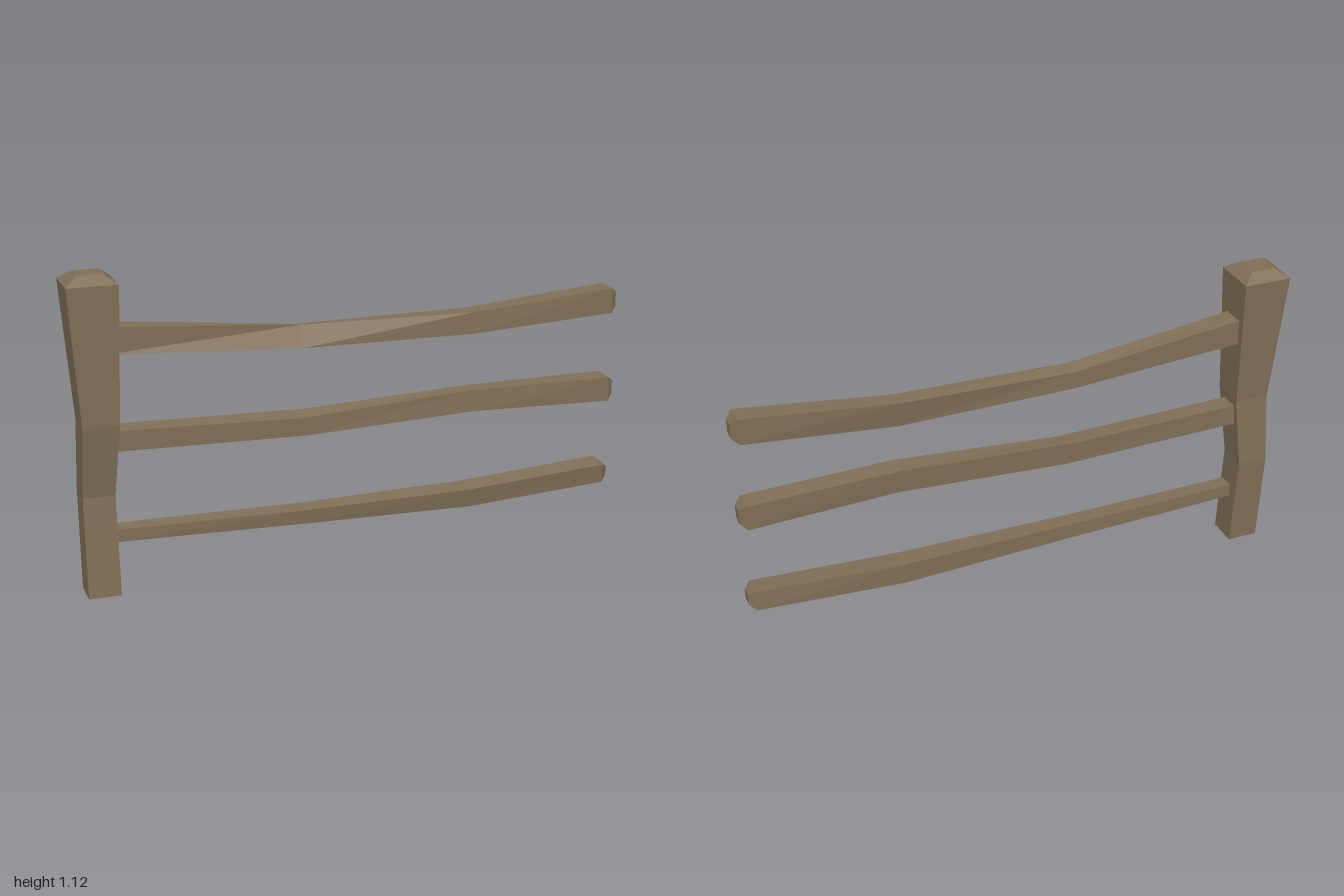
import * as THREE from 'three';

// Skin a run of four-cornered sections (corners clockwise seen from the far end) and cap both ends
function loft(sections) {
  const pos = [];
  const quad = (a, b, c, d) => pos.push(...a, ...b, ...c, ...a, ...c, ...d);
  for (let s = 0; s < sections.length - 1; s++) {
    const a = sections[s], b = sections[s + 1];
    for (let i = 0; i < 4; i++) {
      const n = (i + 1) % 4;
      quad(a[i], b[i], b[n], a[n]);
    }
  }
  const [p, q, r, t] = sections[0];
  quad(p, q, r, t);
  const [e, f, g, h] = sections[sections.length - 1];
  quad(h, g, f, e);
  const geo = new THREE.BufferGeometry();
  geo.setAttribute('position', new THREE.Float32BufferAttribute(pos, 3));
  geo.computeVertexNormals();
  return geo;
}

// Horizontal section of the post
const postSection = ([y, x0, x1, z0, z1]) =>
  [[x0, y, z0], [x1, y, z0], [x1, y, z1], [x0, y, z1]];

// Section of a rail: [z, y] of front top, back top, back bottom, front bottom
const railSection = ([x, ...corners]) => corners.map(([z, y]) => [x, y, z]);

export function createModel() {
  const group = new THREE.Group();
  const wood = new THREE.MeshStandardMaterial({ color: 0x806f56 });
  wood.name = 'weatheredWood';
  wood.flatShading = true;
  const add = (name, sections) => {
    const mesh = new THREE.Mesh(loft(sections), wood);
    mesh.name = name;
    group.add(mesh);
  };

  // Crooked post with a bevelled head
  add('post', [
    [0, -0.968, -0.855, -0.056, 0.056],
    [0.355, -0.968, -0.857, -0.082, 0.03],
    [0.61, -0.965, -0.84, -0.056, 0.072],
    [1.09, -1, -0.826, -0.085, 0.085],
    [1.12, -0.957, -0.869, -0.045, 0.045],
  ].map(postSection));

  // Bent rails running from inside the post to a chamfered free end
  add('topRail', [
    [-0.88, [0.04, 0.942], [-0.046, 0.943], [-0.046, 0.848], [0.04, 0.848]],
    [-0.19, [-0.005, 0.882], [-0.062, 0.872], [-0.062, 0.81], [0.03, 0.808]],
    [0.44, [0.02, 0.88], [-0.05, 0.882], [-0.039, 0.789], [0.024, 0.803]],
    [0.977, [0.042, 0.932], [-0.039, 0.935], [-0.039, 0.84], [0.042, 0.84]],
    [1, [0.024, 0.912], [-0.021, 0.912], [-0.021, 0.86], [0.024, 0.86]],
  ].map(railSection));

  add('middleRail', [
    [-0.88, [0.035, 0.583], [-0.04, 0.586], [-0.04, 0.51], [0.035, 0.51]],
    [-0.18, [0.042, 0.562], [-0.036, 0.571], [-0.033, 0.489], [0.04, 0.497]],
    [0.44, [0.05, 0.604], [-0.025, 0.602], [-0.02, 0.515], [0.056, 0.527]],
    [0.977, [0.042, 0.598], [-0.039, 0.601], [-0.039, 0.508], [0.042, 0.508]],
    [1, [0.024, 0.58], [-0.021, 0.58], [-0.021, 0.528], [0.024, 0.528]],
  ].map(railSection));

  add('bottomRail', [
    [-0.88, [0.03, 0.23], [-0.03, 0.233], [-0.03, 0.185], [0.03, 0.186]],
    [-0.18, [0.035, 0.22], [-0.035, 0.224], [-0.035, 0.166], [0.03, 0.168]],
    [0.44, [0.037, 0.224], [-0.05, 0.23], [-0.047, 0.149], [0.024, 0.154]],
    [0.977, [0.03, 0.256], [-0.056, 0.264], [-0.062, 0.192], [0.021, 0.185]],
    [1, [0.009, 0.24], [-0.041, 0.246], [-0.045, 0.208], [0.004, 0.204]],
  ].map(railSection));

  return group;
}
